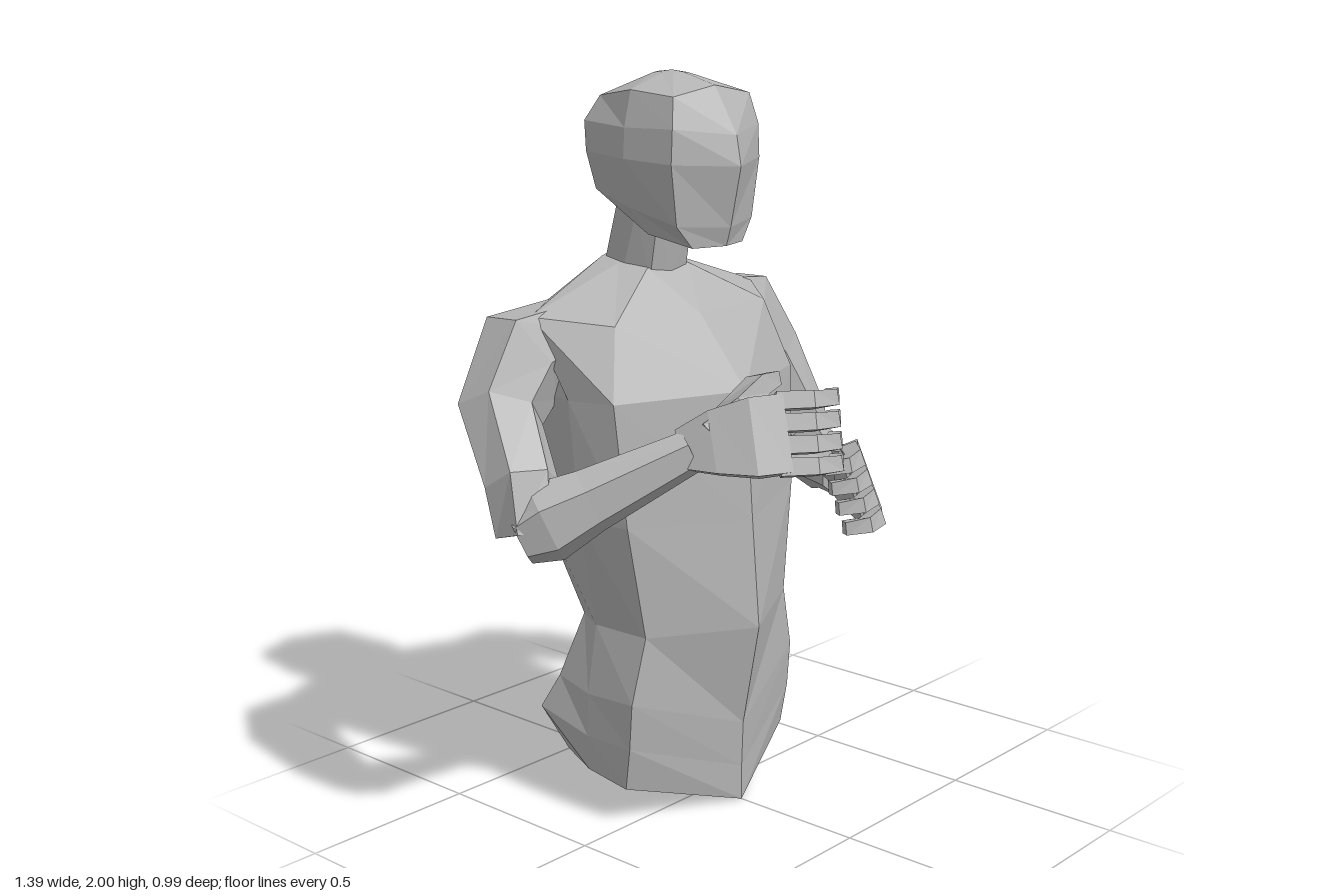
import * as THREE from 'three';

const grey = new THREE.MeshStandardMaterial({ color: 0xb4b4b4, flatShading: true });
grey.name = 'plain grey';

// Skin a list of closed rings and close both ends with fans
function loft(name, rings, startTip, endTip) {
  const mid = r => r.reduce((s, p) => s.add(p), new THREE.Vector3()).divideScalar(r.length);
  const n = rings[0].length, last = rings.length - 1, out = [];
  const tri = (...ps) => ps.forEach(p => out.push(p.x, p.y, p.z));
  const start = startTip || mid(rings[0]), end = endTip || mid(rings[last]);
  for (let i = 0; i < n; i++) {
    const j = (i + 1) % n;
    tri(start, rings[0][j], rings[0][i]);
    for (let r = 0; r < last; r++) {
      const [a, b, c, d] = [rings[r][i], rings[r][j], rings[r + 1][j], rings[r + 1][i]];
      // The diagonals mirror across the two halves
      if (i < n / 2) { tri(a, b, c); tri(a, c, d); } else { tri(a, b, d); tri(b, c, d); }
    }
    tri(end, rings[last][i], rings[last][j]);
  }
  const g = new THREE.BufferGeometry();
  g.setAttribute('position', new THREE.Float32BufferAttribute(out, 3));
  g.computeVertexNormals();
  const mesh = new THREE.Mesh(g, grey);
  mesh.name = name;
  return mesh;
}

// Half a cross-section, front centre to back centre, mirrored to a full ring
function body(name, halves, startTip, endTip) {
  const rings = halves.map(h => {
    const half = h.map(p => new THREE.Vector3(...p));
    const other = half.slice(1, -1).reverse().map(p => new THREE.Vector3(-p.x, p.y, p.z));
    return [...half, ...other];
  });
  return loft(name, rings, startTip, endTip);
}

// Faceted limb along points [x, y, z, half width, half height]
function limb(name, side, pts, n, upDir) {
  const c = pts.map(p => new THREE.Vector3(p[0] * side, p[1], p[2]));
  const k = 1 / Math.cos(Math.PI / n);
  const rings = c.map((p, i) => {
    const t = c[Math.min(i + 1, c.length - 1)].clone().sub(c[Math.max(i - 1, 0)]).normalize();
    const u = new THREE.Vector3().crossVectors(upDir, t).normalize();
    const v = new THREE.Vector3().crossVectors(t, u);
    return Array.from({ length: n }, (_, s) => {
      const a = (s + 0.5) * 2 * Math.PI / n;
      return p.clone().addScaledVector(u, Math.cos(a) * k * pts[i][3])
        .addScaledVector(v, Math.sin(a) * k * (pts[i][4] ?? pts[i][3]));
    });
  });
  return loft(name, rings);
}

const UP = new THREE.Vector3(0, 1, 0), FRONT = new THREE.Vector3(0, 0, 1);

// Rolled hand with curled fingers; dx and dy move it from its base place
function hand(side, dx, dy, thumbLift) {
  const g = new THREE.Group();
  g.name = 'hand';
  const rolled = new THREE.Vector3(-0.22 * side, 1, -0.28);
  g.add(limb('palm', side, [
    [0.335, 0.885, 0.18, 0.03, 0.05], [0.285, 0.905, 0.25, 0.04, 0.08],
    [0.225, 0.92, 0.33, 0.04, 0.1], [0.165, 0.93, 0.39, 0.028, 0.1],
  ], 4, rolled));
  for (let i = 0; i < 4; i++) {
    const y = 0.85 + 0.053 * i, low = 0.93 - y, s = low * 0.22, z = low * 0.28;
    g.add(limb('finger', side, [
      [0.185 + s, y, 0.375 + z, 0.023], [0.12 + s, y + 0.002, 0.44 + z, 0.022],
      [0.06 + s, y, 0.455 + z, 0.02], [0.01 + s, y - 0.004, 0.42 + z, 0.017],
    ], 4, rolled));
  }
  g.add(limb('thumb', side, [
    [0.29, 0.92, 0.24, 0.035, 0.04], [0.21, 0.965 + thumbLift / 2, 0.265, 0.04, 0.035],
    [0.12, 1.0 + thumbLift, 0.255, 0.027], [0.03, 1.0 + thumbLift, 0.235, 0.018],
  ], 4, rolled));
  g.position.set(dx * side, dy, 0);
  return g;
}

function arm(name, side, elbow, wrist) {
  const g = new THREE.Group();
  g.name = name;
  const [ex, ey, ez] = elbow;
  g.add(limb('upperArm', side, [
    [0.24, 1.32, -0.265, 0.09, 0.08], [0.43, 1.27, -0.27, 0.135, 0.092],
    [0.53, 1.14, -0.25, 0.11, 0.088], [ex - 0.005, ey + 0.1, ez - 0.055, 0.088, 0.08],
    [ex + 0.01, ey - 0.02, ez - 0.02, 0.075, 0.07],
  ], 6, FRONT));
  const at = (f, w, h) => [...elbow.map((e, i) => e + (wrist[i] - e) * f), w, h];
  g.add(limb('forearm', side, [
    at(-0.12, 0.06, 0.07), at(0.06, 0.075, 0.095), at(0.35, 0.062, 0.075), at(1.02, 0.037, 0.05),
  ], 6, UP));
  return g;
}

export function createModel() {
  const model = new THREE.Group();
  model.name = 'figure';

  // Torso from the hips to the base of the neck
  model.add(body('torso', [
    [[0, 0, 0.12], [0.33, 0.1, -0.01], [0.33, 0.12, -0.15], [0.28, 0.13, -0.28], [0, 0.07, -0.4]],
    [[0, 0.1, 0.12], [0.335, 0.22, 0.01], [0.335, 0.22, -0.15], [0.325, 0.255, -0.34], [0, 0.16, -0.485]],
    [[0, 0.23, 0.125], [0.335, 0.35, 0.02], [0.33, 0.34, -0.15], [0.295, 0.35, -0.295], [0, 0.28, -0.39]],
    [[0, 0.52, 0.18], [0.29, 0.53, 0.03], [0.295, 0.53, -0.15], [0.245, 0.53, -0.245], [0, 0.53, -0.31]],
    [[0, 0.82, 0.155], [0.34, 0.84, 0.015], [0.37, 0.84, -0.13], [0.325, 0.85, -0.335], [0, 0.84, -0.38]],
    [[0, 1.17, 0.13], [0.36, 1.17, -0.01], [0.395, 1.17, -0.14], [0.34, 1.17, -0.365], [0, 1.2, -0.43]],
    [[0, 1.36, -0.03], [0.3, 1.36, -0.06], [0.44, 1.385, -0.23], [0.3, 1.37, -0.36], [0, 1.37, -0.395]],
    [[0, 1.47, -0.14], [0.08, 1.48, -0.15], [0.11, 1.49, -0.23], [0.09, 1.5, -0.31], [0, 1.51, -0.345]],
  ], new THREE.Vector3(0, 0.02, -0.14)));

  model.add(body('neck', [
    [[0, 1.44, -0.14], [0.07, 1.45, -0.15], [0.095, 1.46, -0.23], [0.08, 1.48, -0.31], [0, 1.49, -0.345]],
    [[0, 1.62, -0.11], [0.07, 1.62, -0.12], [0.09, 1.63, -0.18], [0.08, 1.65, -0.26], [0, 1.66, -0.295]],
  ]));

  // Head from the jaw to the crown
  model.add(body('head', [
    [[0, 1.55, 0.06], [0.1, 1.55, 0.03], [0.13, 1.58, -0.1], [0.1, 1.63, -0.22], [0, 1.63, -0.285]],
    [[0, 1.6, 0.075], [0.15, 1.61, 0.02], [0.165, 1.65, -0.13], [0.15, 1.69, -0.27], [0, 1.71, -0.335]],
    [[0, 1.76, 0.11], [0.175, 1.77, 0.025], [0.2, 1.78, -0.12], [0.175, 1.79, -0.28], [0, 1.8, -0.345]],
    [[0, 1.84, 0.095], [0.17, 1.86, 0.025], [0.195, 1.86, -0.12], [0.17, 1.87, -0.29], [0, 1.87, -0.33]],
    [[0, 1.965, 0.02], [0.15, 1.94, 0.01], [0.17, 1.955, -0.12], [0.14, 1.935, -0.26], [0, 1.955, -0.295]],
    [[0, 1.995, -0.09], [0.03, 1.993, -0.1], [0.04, 1.993, -0.13], [0.03, 1.993, -0.17], [0, 1.995, -0.18]],
  ], undefined, new THREE.Vector3(0, 2, -0.13)));

  // Arms bent so the hands meet in front of the chest
  const leftArm = arm('leftArm', 1, [0.61, 0.85, -0.13], [0.33, 0.885, 0.18]);
  leftArm.add(hand(1, 0, 0, 0));
  const rightArm = arm('rightArm', -1, [0.61, 0.895, -0.04], [0.31, 1.07, 0.2]);
  rightArm.add(hand(-1, -0.02, 0.19, 0.03));
  model.add(leftArm, rightArm);
  return model;
}
